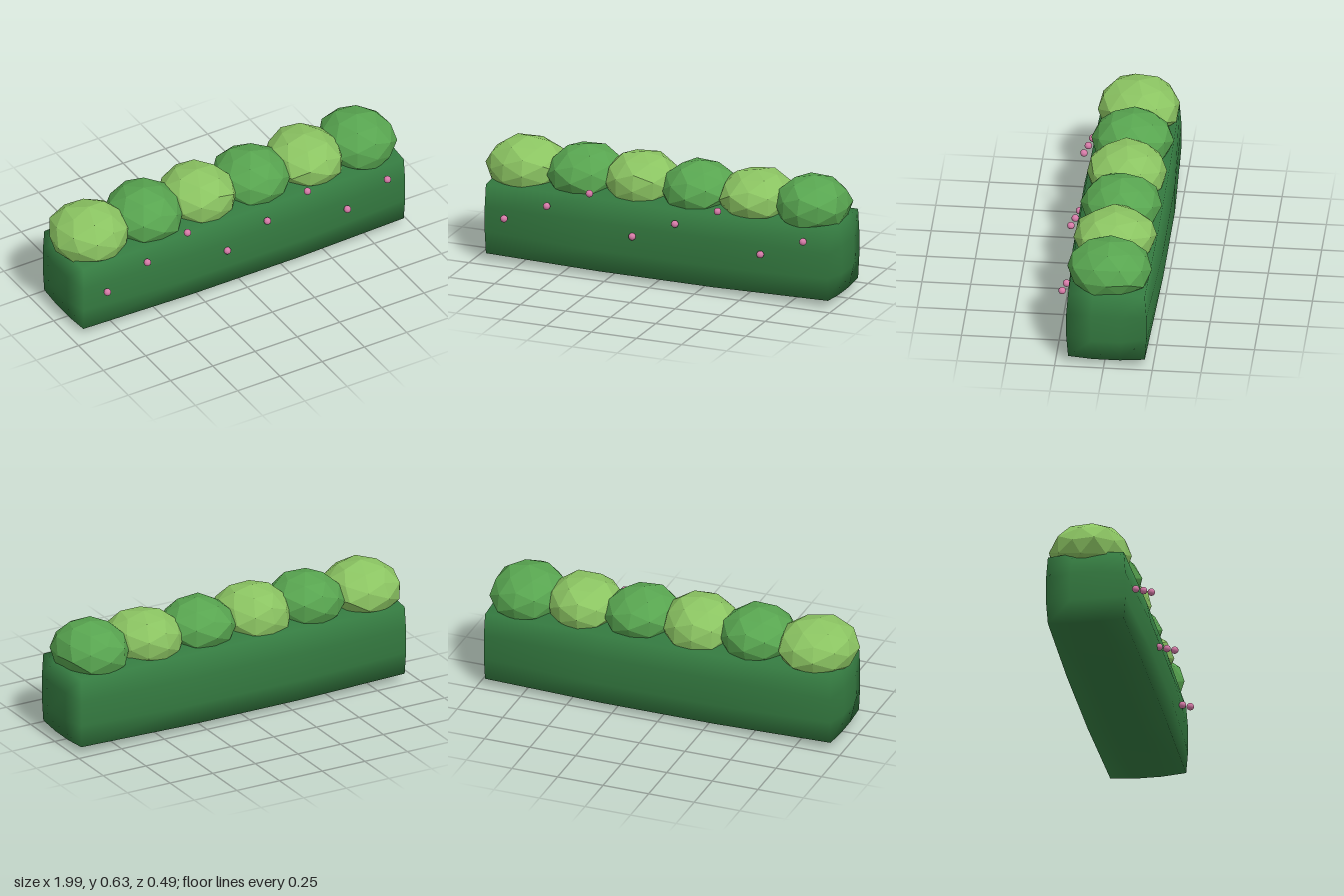
import * as THREE from 'three';
import { mergeVertices } from 'three/addons/utils/BufferGeometryUtils.js';

const material = (color, flatShading = false) => {
  const m = new THREE.MeshStandardMaterial({ color });
  m.flatShading = flatShading;
  return m;
};

// Box whose edges and corners are pulled in, with smooth normals
function pillowBox(hx, hy, hz) {
  let g = new THREE.BoxGeometry(2, 2, 2, 3, 3, 3);
  g.deleteAttribute('uv');
  g.deleteAttribute('normal');
  g = mergeVertices(g);
  const p = g.attributes.position;
  for (let i = 0; i < p.count; i++) {
    const c = [p.getX(i), p.getY(i), p.getZ(i)];
    const outer = c.filter((v) => Math.abs(v) > 0.99).length;
    const pull = [[1, 1, 1], [1, 1, 1], [0.975, 0.867, 0.89], [0.972, 0.825, 0.85]][outer];
    p.setXYZ(i, c[0] * hx * pull[0], c[1] * hy * pull[1], c[2] * hz * pull[2]);
  }
  g.computeVertexNormals();
  return g;
}

// Faceted leaf clump, lightly roughened by a repeatable rule
function clumpGeometry(rx, ry, rz, seed) {
  const g = new THREE.IcosahedronGeometry(1, 1);
  const p = g.attributes.position;
  const v = new THREE.Vector3();
  for (let i = 0; i < p.count; i++) {
    v.fromBufferAttribute(p, i);
    const k = 1 + 0.03 * Math.sin(v.x * 5.1 + v.y * 7.3 + v.z * 6.2 + seed * 2.4);
    p.setXYZ(i, v.x * k * rx, v.y * k * ry, v.z * k * rz);
  }
  g.computeVertexNormals();
  return g;
}

export function createModel() {
  const group = new THREE.Group();
  const add = (name, geometry, mat, x, y, z) => {
    const mesh = new THREE.Mesh(geometry, mat);
    mesh.name = name;
    mesh.position.set(x, y, z);
    group.add(mesh);
    return mesh;
  };

  // Long hedge body
  add('hedgeBody', pillowBox(0.975, 0.225, 0.231), material(0x347a40), 0.015, 0.225, -0.012);

  // Row of leaf clumps in alternating greens: x, half width, half height, half depth, turn
  const light = material(0x8bc462, true);
  const dark = material(0x58a550, true);
  const clumps = [
    [-0.785, 0.212, 0.148, 0.212, 0.25],
    [-0.46, 0.2, 0.154, 0.208, 0],
    [-0.145, 0.2, 0.154, 0.21, 0.12],
    [0.172, 0.2, 0.146, 0.205, 0],
    [0.488, 0.198, 0.145, 0.214, 0.15],
    [0.8, 0.197, 0.15, 0.22, 0],
  ];
  clumps.forEach(([x, rx, ry, rz, turn], i) => {
    const clump = add('leafClump', clumpGeometry(rx, ry, rz, i), i % 2 ? dark : light, x, 0.48, -0.013);
    clump.rotation.y = turn;
  });

  // Blossoms in rising steps along the front
  const pink = material(0xd67ba8);
  const blossom = new THREE.SphereGeometry(0.019, 14, 10);
  for (let i = 0; i < 8; i++) {
    add('blossom', blossom, pink, -0.815 + i * 0.2367, 0.254 + (i % 3) * 0.1, 0.226);
  }

  return group;
}
